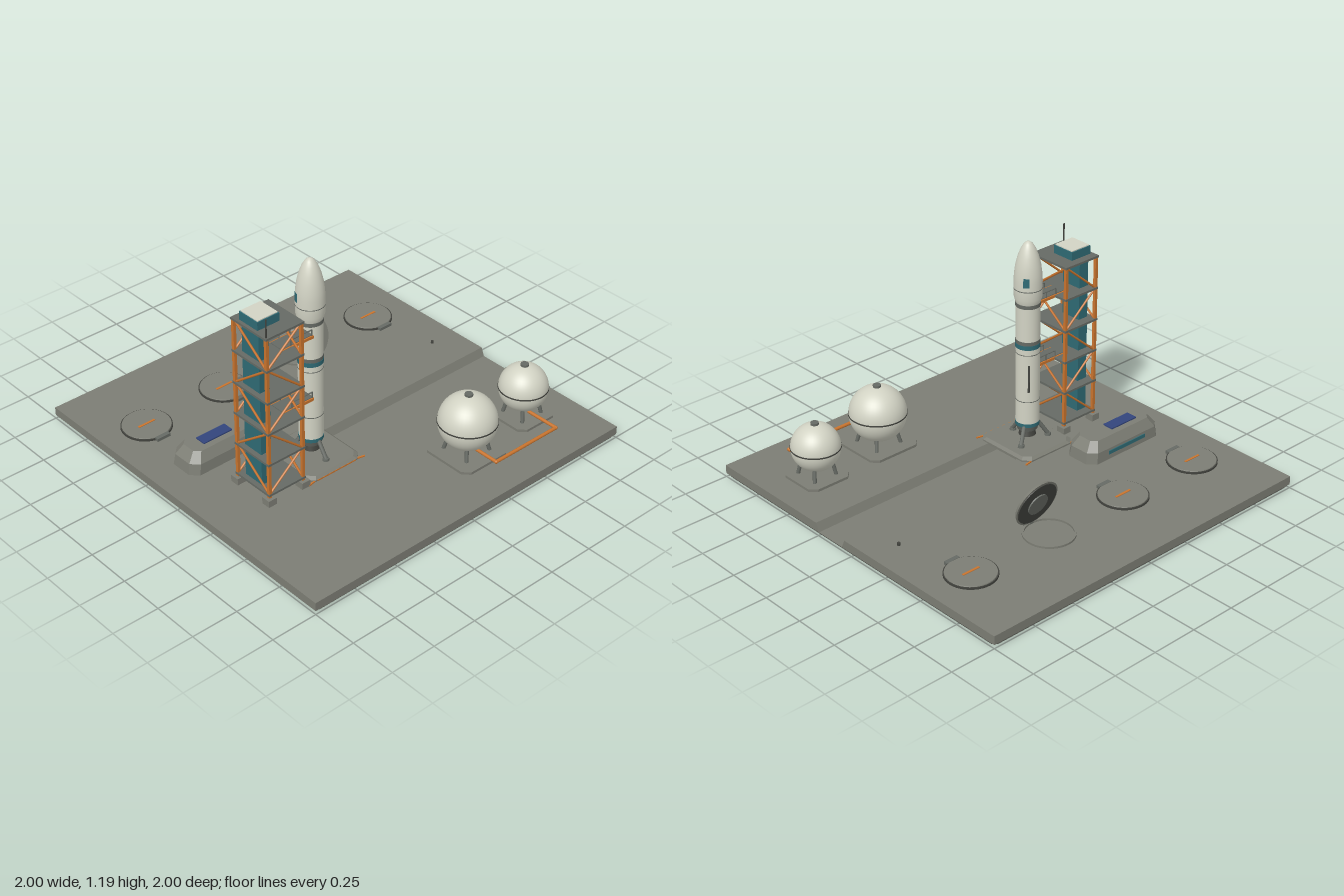
import * as THREE from 'three';

const mat = (name, color, side = THREE.FrontSide) => {
  const m = new THREE.MeshStandardMaterial({ color, side });
  m.name = name;
  return m;
};
const concrete = mat('concrete grey', 0x7c7d74);
const steel = mat('steel grey', 0x666a64);
const dark = mat('dark metal', 0x42433e);
const white = mat('off white', 0xd2d3c4);
const orange = mat('safety orange', 0xc9742e);
const teal = mat('teal', 0x2f6a74);
const blue = mat('panel blue', 0x33457c);

const V = (x, y, z) => new THREE.Vector3(x, y, z);

function add(parent, name, geo, material, x = 0, y = 0, z = 0) {
  const m = new THREE.Mesh(geo, material);
  m.name = name;
  m.position.set(x, y, z);
  parent.add(m);
  return m;
}
function group(parent, name, x = 0, y = 0, z = 0) {
  const g = new THREE.Group();
  g.name = name;
  g.position.set(x, y, z);
  parent.add(g);
  return g;
}
const box = (p, n, m, w, h, d, x, y, z) => add(p, n, new THREE.BoxGeometry(w, h, d), m, x, y, z);
const cyl = (p, n, m, rTop, rBot, h, x, y, z, seg = 32) =>
  add(p, n, new THREE.CylinderGeometry(rTop, rBot, h, seg), m, x, y, z);

// Round or square bar between two points
function bar(p, name, material, a, b, r, seg = 8) {
  const m = cyl(p, name, material, r, r, a.distanceTo(b), 0, 0, 0, seg);
  m.position.copy(a).add(b).multiplyScalar(0.5);
  m.quaternion.setFromUnitVectors(V(0, 1, 0), b.clone().sub(a).normalize());
  return m;
}

// Stack of chamfered rectangles: each level is [y, halfX, halfZ, cornerCut]
function loft(levels) {
  const rings = levels.map(([y, w, d, c]) => [
    [w, d - c], [w - c, d], [c - w, d], [-w, d - c], [-w, c - d], [c - w, -d], [w - c, -d], [w, c - d],
  ].map(([x, z]) => V(x, y, z)));
  const pos = [];
  const tri = (...pts) => pts.forEach(q => pos.push(q.x, q.y, q.z));
  const top = rings[rings.length - 1];
  for (let i = 0; i < 8; i++) {
    const j = (i + 1) % 8;
    for (let k = 0; k + 1 < rings.length; k++) {
      const a = rings[k], b = rings[k + 1];
      tri(a[i], b[i], b[j]);
      tri(a[i], b[j], a[j]);
    }
    if (i > 0 && i < 7) {
      tri(top[0], top[j], top[i]);
      tri(rings[0][0], rings[0][i], rings[0][j]);
    }
  }
  const g = new THREE.BufferGeometry();
  g.setAttribute('position', new THREE.Float32BufferAttribute(pos, 3));
  g.computeVertexNormals();
  return g;
}

const TOP = 0.066; // ground level of the slab

function buildSlab(root) {
  const g = group(root, 'baseSlab');
  add(g, 'lowerSlab', loft([[0, 0.985, 0.985, 0.02], [0.02, 1, 1, 0.02]]), concrete);
  // Half with the flame trench, extruded along x
  const s = new THREE.Shape();
  [[-1, 0.02], [1, 0.02], [1, TOP], [-0.05, TOP], [-0.07, 0.021], [-0.245, 0.021], [-0.265, TOP], [-1, TOP]]
    .forEach(([x, y], i) => (i ? s.lineTo(x, y) : s.moveTo(x, y)));
  const geo = new THREE.ExtrudeGeometry(s, { depth: 1.29, bevelEnabled: false }).rotateY(Math.PI / 2);
  add(g, 'trenchSlab', geo, concrete, -0.29, 0, 0);
  box(g, 'solidSlab', concrete, 0.71, TOP - 0.02, 2, -0.645, (TOP + 0.02) / 2, 0);
  cyl(g, 'groundPost', dark, 0.008, 0.008, 0.015, 0.835, TOP + 0.007, -0.155, 12);
}

function buildPad(root) {
  const g = group(root, 'launchPad', -0.285, 0, 0.157);
  add(g, 'padPlate', loft([[0.06, 0.17, 0.183, 0.035], [0.074, 0.17, 0.183, 0.035], [0.086, 0.155, 0.168, 0.035]]), concrete);
  box(g, 'frontStripe', orange, 0.25, 0.007, 0.004, 0, 0.07, 0.183);
  for (const sx of [-1, 1]) for (const sz of [-1, 1]) {
    const b = box(g, 'cornerMark', orange, 0.06, 0.006, 0.008, sx * 0.15, TOP + 0.003, sz * 0.18);
    b.rotation.y = -sx * sz * 0.2;
  }
}

function buildRocket(root) {
  const g = group(root, 'rocket', -0.285, 0, 0.152);
  const R = 0.062;
  cyl(g, 'engineBell', dark, 0.03, 0.045, 0.05, 0, 0.135, 0);
  cyl(g, 'engineSkirt', steel, R, 0.052, 0.03, 0, 0.16, 0);
  cyl(g, 'lowerTealBand', teal, R + 0.001, R + 0.001, 0.02, 0, 0.183, 0);
  cyl(g, 'firstStage', white, R, R, 0.43, 0, 0.405, 0);
  cyl(g, 'tealBand', teal, R + 0.002, R + 0.002, 0.024, 0, 0.628, 0);
  cyl(g, 'interstage', steel, R + 0.001, R + 0.001, 0.02, 0, 0.65, 0);
  cyl(g, 'secondStage', white, R, R, 0.19, 0, 0.75, 0);
  cyl(g, 'upperBand', steel, R + 0.002, R + 0.002, 0.02, 0, 0.853, 0);
  for (const y of [0.32, 0.585]) cyl(g, 'seam', steel, R + 0.001, R + 0.001, 0.004, 0, y, 0);
  // Wider nose fairing
  const nose = [[0.062, 0.862], [0.071, 0.892], [0.072, 0.94], [0.072, 0.985], [0.07, 1.02], [0.064, 1.065],
    [0.053, 1.11], [0.038, 1.15], [0.022, 1.176], [0.01, 1.185], [0, 1.187]].map(([r, y]) => new THREE.Vector2(r, y));
  add(g, 'fairing', new THREE.LatheGeometry(nose, 40), white);
  cyl(g, 'fairingSeam', steel, 0.073, 0.073, 0.004, 0, 0.94, 0);
  // Windows as thin curved plates, given by bearing from +z
  for (const a of [130, 250]) {
    const t = THREE.MathUtils.degToRad(a);
    add(g, 'window', new THREE.CylinderGeometry(0.0725, 0.074, 0.05, 6, 1, true, t - 0.22, 0.44), teal, 0, 0.99, 0);
  }
  box(g, 'cableDuct', dark, 0.01, 0.15, 0.01, 0.038, 0.455, -0.05).rotation.y = 0.65;
  // Three splayed landing legs
  for (let i = 0; i < 3; i++) {
    const a = i * Math.PI * 2 / 3, s = Math.sin(a), c = Math.cos(a);
    bar(g, 'landingLeg', steel, V(s * 0.055, 0.175, c * 0.055), V(s * 0.108, 0.096, c * 0.108), 0.011);
    cyl(g, 'legFoot', steel, 0.016, 0.018, 0.012, s * 0.108, 0.092, c * 0.108, 12);
  }
}

function buildTower(root) {
  const g = group(root, 'serviceTower', -0.588, 0, 0.203);
  const hx = 0.104, hz = 0.116, levels = [0.118, 0.295, 0.472, 0.648, 0.825, 1.0];
  for (const sx of [-1, 1]) for (const sz of [-1, 1]) {
    box(g, 'footing', concrete, 0.05, 0.04, 0.05, sx * hx, 0.082, sz * hz);
    box(g, 'column', orange, 0.016, 0.9, 0.016, sx * hx, 0.55, sz * hz);
  }
  levels.forEach((y, k) => {
    box(g, 'platform', steel, hx * 2 + 0.02, 0.012, hz * 2 + 0.02, 0, y, 0);
    if (!k) return;
    const lo = levels[k - 1], f = k % 2 ? 1 : -1;
    for (const s of [-1, 1]) {
      bar(g, 'brace', orange, V(-f * hx, lo, s * hz), V(f * hx, y, s * hz), 0.006, 6);
      bar(g, 'brace', orange, V(s * hx, lo, f * hz), V(s * hx, y, -f * hz), 0.006, 6);
    }
  });
  box(g, 'liftShaft', teal, 0.06, 0.9, 0.12, -0.058, 0.555, -0.018);
  box(g, 'liftHouse', teal, 0.13, 0.045, 0.13, -0.032, 1.028, -0.018);
  box(g, 'liftRoof', white, 0.12, 0.005, 0.12, -0.032, 1.053, -0.018);
  bar(g, 'antenna', dark, V(-hx, 1, hz), V(-hx, 1.105, hz), 0.004);
  // Access arms reaching toward the rocket
  for (const y of [0.825, 0.472]) {
    const arm = group(g, 'accessArm', 0.145, y, -0.002);
    box(arm, 'walkway', steel, 0.19, 0.008, 0.08, 0, 0.006, 0);
    for (const s of [-1, 1]) {
      box(arm, 'stringer', orange, 0.19, 0.014, 0.012, 0, 0, s * 0.042);
      bar(arm, 'handrail', steel, V(-0.04, 0.04, s * 0.042), V(0.09, 0.04, s * 0.042), 0.003, 6);
      for (const x of [-0.04, 0.025, 0.088])
        bar(arm, 'railPost', steel, V(x, 0, s * 0.042), V(x, 0.04, s * 0.042), 0.003, 6);
    }
  }
}

function buildBunker(root) {
  const g = group(root, 'bunker', -0.588, 0, -0.168);
  add(g, 'bunkerShell', loft([[0.06, 0.255, 0.1, 0.04], [0.125, 0.245, 0.095, 0.04], [0.175, 0.205, 0.065, 0.028]]), concrete);
  box(g, 'roofPanel', blue, 0.175, 0.008, 0.062, -0.045, 0.178, 0);
  box(g, 'windowStrip', teal, 0.26, 0.02, 0.008, 0, 0.102, -0.0965);
}

function buildSilos(root) {
  [-0.75, -0.253, 0.248, 0.747].forEach((x, i) => {
    const g = group(root, 'silo', x, 0, -0.565);
    const open = i === 2;
    const rim = [[0.121, TOP], [0.121, 0.077], [0.131, 0.077], [0.131, TOP]].map(([r, y]) => new THREE.Vector2(r, y));
    const ring = new THREE.LatheGeometry(rim.reverse(), 40).toNonIndexed();
    ring.computeVertexNormals();
    add(g, 'siloRim', ring, open ? concrete : dark);
    box(g, 'hinge', steel, 0.08, 0.016, 0.024, 0, 0.074, 0.132);
    // Lid pivots on the hinge line
    const lid = group(g, 'siloLid', 0, 0.074, 0.13);
    cyl(lid, 'lidDisc', concrete, 0.124, 0.13, 0.014, 0, 0, -0.13, 40);
    if (open) {
      lid.rotation.x = THREE.MathUtils.degToRad(73);
      cyl(lid, 'lidUnderside', dark, 0.12, 0.12, 0.006, 0, -0.008, -0.13, 40);
      cyl(lid, 'lidHub', steel, 0.06, 0.06, 0.012, 0, -0.012, -0.13);
    } else box(lid, 'lidStripe', orange, 0.1, 0.004, 0.012, 0, 0.008, -0.13);
  });
}

function buildTank(root, x, z, y, R, half) {
  const g = group(root, 'fuelTank', x, 0, z);
  add(g, 'tankPad', loft([[0.06, half, half, 0.035], [0.08, half, half, 0.035]]), concrete);
  add(g, 'tankSphere', new THREE.SphereGeometry(R, 40, 28), white, 0, y, 0);
  cyl(g, 'equatorBand', dark, R + 0.002, R + 0.002, 0.007, 0, y, 0, 40);
  cyl(g, 'topCap', steel, 0.021, 0.021, 0.02, 0, y + R, 0, 16);
  for (let i = 0; i < 4; i++) {
    const a = Math.PI / 4 + i * Math.PI / 2, s = Math.sin(a), c = Math.cos(a);
    bar(g, 'tankLeg', steel, V(s * R * 0.62, y - R * 0.7, c * R * 0.62), V(s * R * 0.75, 0.078, c * R * 0.75), 0.01);
  }
}

function buildPipe(root) {
  const g = group(root, 'fuelPipe');
  const pts = [V(0.297, 0.112, 0.7), V(0.297, 0.112, 0.845), V(0.717, 0.112, 0.845), V(0.717, 0.112, 0.66)];
  for (let i = 0; i < 3; i++) bar(g, 'pipeRun', orange, pts[i], pts[i + 1], 0.009, 12);
  for (const p of pts.slice(1, 3)) add(g, 'pipeElbow', new THREE.SphereGeometry(0.01, 12, 8), orange, p.x, p.y, p.z);
}

export function createModel() {
  const root = new THREE.Group();
  root.name = 'launchSite';
  buildSlab(root);
  buildPad(root);
  buildRocket(root);
  buildTower(root);
  buildBunker(root);
  buildSilos(root);
  buildTank(root, 0.297, 0.643, 0.25, 0.15, 0.154);
  buildTank(root, 0.725, 0.607, 0.235, 0.127, 0.128);
  buildPipe(root);
  return root;
}
